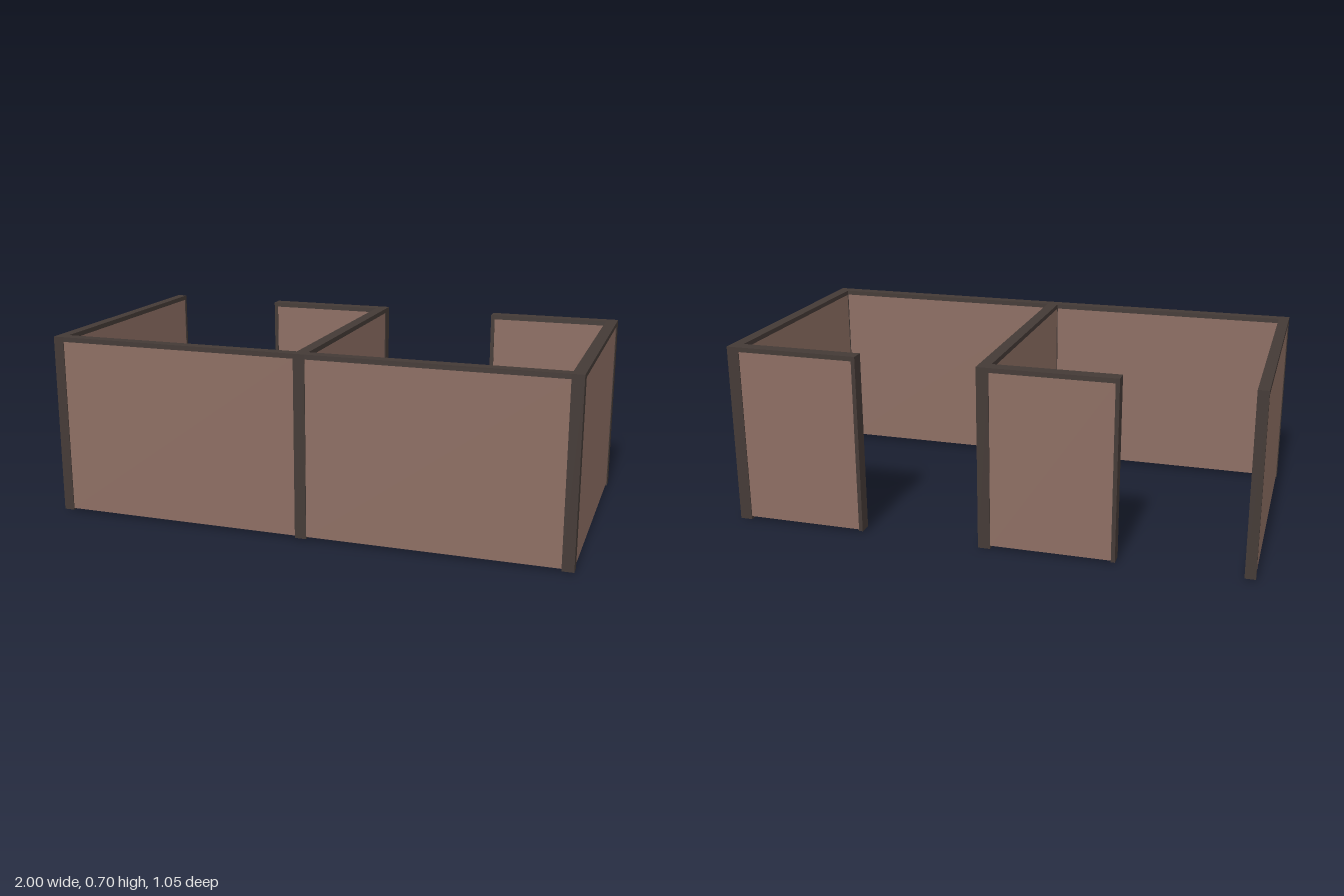
import * as THREE from 'three';

const panelMat = new THREE.MeshStandardMaterial({ color: 0x8d6e63 });
const frameMat = new THREE.MeshStandardMaterial({ color: 0x443a36 });

const TOP = 0.7, RAIL = 0.018, PANEL_BASE = 0.012, INSET = 0.003;

// Box spanning the given minimum and maximum corners
function span(name, mat, [x0, y0, z0], [x1, y1, z1]) {
  const mesh = new THREE.Mesh(new THREE.BoxGeometry(x1 - x0, y1 - y0, z1 - z0), mat);
  mesh.position.set((x0 + x1) / 2, (y0 + y1) / 2, (z0 + z1) / 2);
  mesh.name = name;
  return mesh;
}

// Partition: infill panel, slightly slimmer than the rail capping it
function wall(name, x0, x1, z0, z1) {
  const g = new THREE.Group();
  g.name = name;
  const alongX = x1 - x0 > z1 - z0;
  const ix = alongX ? 0 : INSET, iz = alongX ? INSET : 0;
  g.add(span('panel', panelMat, [x0 + ix, PANEL_BASE, z0 + iz], [x1 - ix, TOP - RAIL, z1 - iz]));
  g.add(span('topRail', frameMat, [x0, TOP - RAIL, z0], [x1, TOP, z1]));
  return g;
}

const post = (name, x0, x1, z0, z1, y0) => span(name, frameMat, [x0, y0, z0], [x1, TOP, z1]);

export function createModel() {
  const model = new THREE.Group();
  model.name = 'cubiclePartitions';
  const zf0 = 0.478, zf1 = 0.522, zb0 = -0.524, zb1 = -0.473;

  // Open-ended side wall with its corner post and thin end cap
  model.add(wall('openSideWall', -1, -0.96, -0.509, zf0));
  model.add(post('openWallEndCap', -1, -0.96, -0.522, -0.509, 0.008));
  model.add(post('frontCornerPost', -1, -0.96, zf0, zf1, 0.006));

  // Two identical bays: front wall, dividing wall and short return wall
  for (const [edge, start] of [[0.019, -0.96], [1, 0.019]]) {
    const inner = edge - 0.044;
    model.add(wall('frontWall', start, inner, zf0, zf1));
    model.add(wall('sideWall', inner, edge, zb1, zf0));
    model.add(wall('returnWall', edge - 0.503, edge - 0.047, zb0, zb1));
    model.add(post('frontPost', inner, edge, zf0, zf1, 0.004));
    model.add(post('backCornerPost', edge - 0.047, edge, zb0, zb1, 0));
    model.add(post('returnEndCap', edge - 0.518, edge - 0.503, zb0, zb1, 0.007));
  }
  return model;
}
